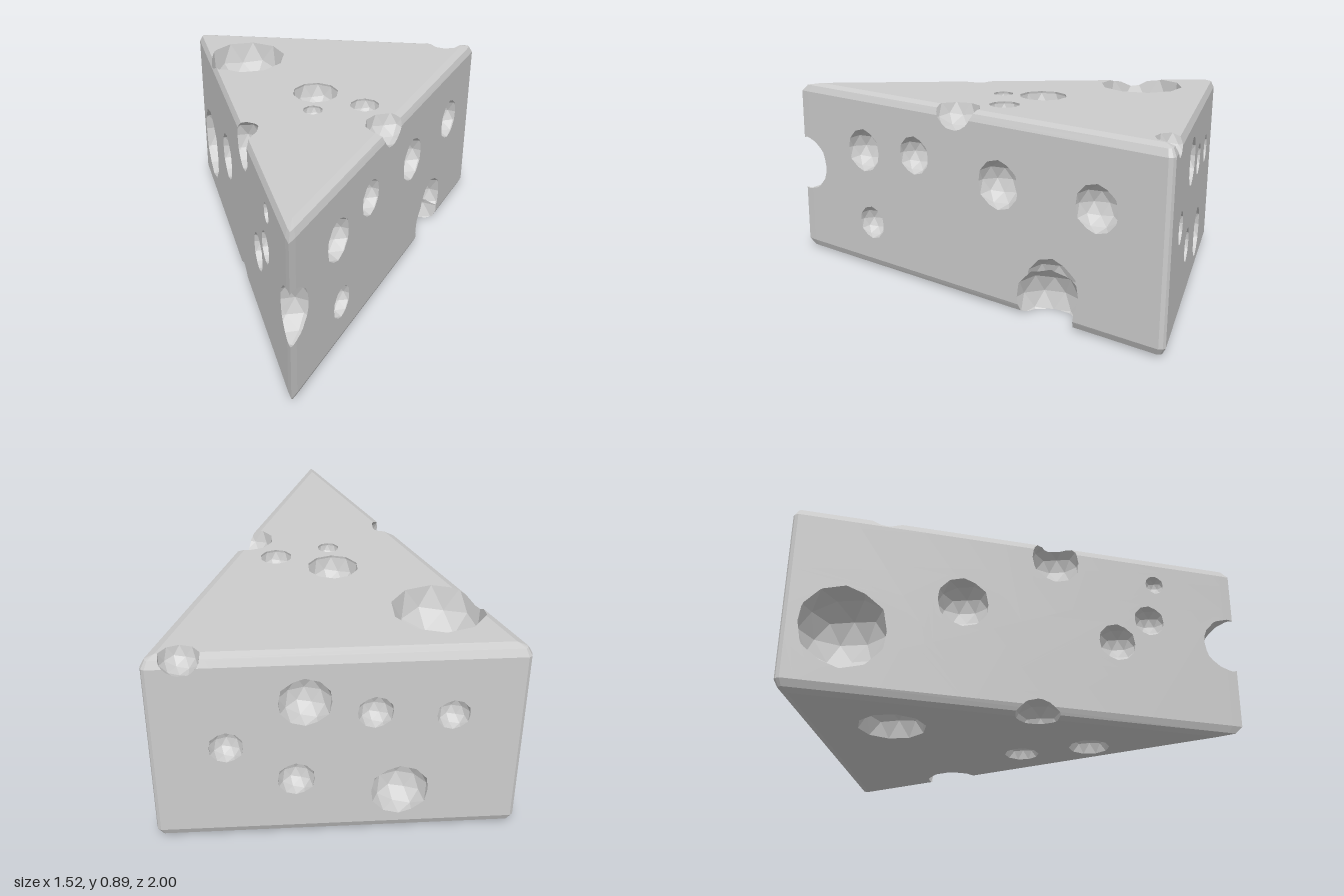
import * as THREE from 'three';
import { ConvexGeometry } from 'three/addons/geometries/ConvexGeometry.js';

const EPS = 1e-5;
const H = 0.89;
const V = (x, y, z) => new THREE.Vector3(x, y, z);

// Triangles of a geometry as point loops
function facesOf(geometry) {
  const p = geometry.toNonIndexed ? (geometry.index ? geometry.toNonIndexed() : geometry).attributes.position : null;
  const faces = [];
  for (let i = 0; i < p.count; i += 3) {
    const f = [0, 1, 2].map(k => new THREE.Vector3().fromBufferAttribute(p, i + k));
    const area = f[1].clone().sub(f[0]).cross(f[2].clone().sub(f[0])).length();
    if (area > 1e-6) faces.push(f);
  }
  return faces;
}
const planesOf = faces => faces.map(f => new THREE.Plane().setFromCoplanarPoints(...f));

// Cut a convex loop by a plane into [outer, inner] parts
function split(poly, plane) {
  const d = poly.map(v => plane.distanceToPoint(v));
  if (d.every(k => k <= EPS)) return [null, poly];
  if (d.every(k => k >= -EPS)) return [poly, null];
  const outer = [], inner = [];
  poly.forEach((a, i) => {
    const j = (i + 1) % poly.length;
    if (d[i] >= -EPS) outer.push(a);
    if (d[i] <= EPS) inner.push(a);
    if ((d[i] > EPS && d[j] < -EPS) || (d[i] < -EPS && d[j] > EPS)) {
      const m = a.clone().lerp(poly[j], d[i] / (d[i] - d[j]));
      outer.push(m);
      inner.push(m);
    }
  });
  return [outer, inner];
}

// Parts of a loop lying outside a convex solid
function outside(poly, planes) {
  const kept = [];
  let rest = poly;
  for (const plane of planes) {
    const [o, i] = split(rest, plane);
    if (!i) return [poly];
    if (o) kept.push(o);
    rest = i;
  }
  return kept;
}

// Part of a loop lying inside a convex solid
function inside(poly, planes) {
  for (const plane of planes) {
    poly = split(poly, plane)[1];
    if (!poly) return null;
  }
  return poly;
}

function toGeometry(polys) {
  const pos = [];
  for (const p of polys)
    for (let i = 1; i < p.length - 1; i++)
      for (const v of [p[0], p[i], p[i + 1]]) pos.push(v.x, v.y, v.z);
  const g = new THREE.BufferGeometry();
  g.setAttribute('position', new THREE.Float32BufferAttribute(pos, 3));
  g.computeVertexNormals();
  return g;
}

// Triangular block with a two-step bevel: [outer x, outer z, inner x, inner z]
function wedgeGeometry() {
  const corners = [
    [0, 0.995, 0, 0.88], [0.02, 0.95, 0, 0.88],
    [0.76, -0.972, 0.70, -0.952], [0.755, -0.99, 0.70, -0.952], [0.742, -1, 0.70, -0.952]
  ];
  const steps = [[0, 1], [0.013, 0.3], [0.045, 0]];
  const points = new Map();
  for (const [ox, oz, ix, iz] of corners)
    for (const [y, t] of steps)
      for (const s of [-1, 1])
        for (const h of [y, H - y]) {
          const p = V(s * (ox + (ix - ox) * t), h, oz + (iz - oz) * t);
          points.set(p.toArray().map(k => (k + 0).toFixed(4).replace('-0.0000', '0.0000')).join(), p);
        }
  return new ConvexGeometry([...points.values()]);
}

const sideX = z => 0.384 - 0.383 * z;

// Holes as [x, y, z, radius]
const holes = [
  // pointed tip
  [0, 0.465, 0.97, 0.142],
  // right-hand face
  ...[[0.60, 0.585, 0.107], [0.63, 0.27, 0.093], [0.58, -0.20, 0.115], [0.575, -0.68, 0.108], [0.235, 0.545, 0.083]]
    .map(([y, z, r]) => [sideX(z), y, z, r]),
  [0.57, 0.165, -0.48, 0.142], [0.54, 0.08, -0.45, 0.16],
  [0.345, 0.895, 0.035, 0.115],
  // left-hand face
  ...[[0.315, -0.75, 0.2], [0.51, -0.26, 0.123], [0.405, 0.43, 0.093], [0.54, 0.585, 0.077], [0.74, 0.62, 0.047]]
    .map(([y, z, r]) => [-sideX(z), y, z, r]),
  [-0.32, 0.80, 0.15, 0.12], [-0.345, -0.035, 0.07, 0.115],
  // top
  [-0.44, 0.89, -0.67, 0.2], [-0.03, 0.88, -0.27, 0.115], [0.22, 0.88, -0.155, 0.073],
  [-0.022, 0.88, -0.075, 0.05], [0.61, 0.89, -0.98, 0.085],
  // back
  [0.45, 0.463, -1, 0.073], [0.13, 0.67, -1, 0.112], [-0.15, 0.61, -1, 0.075],
  [0.17, 0.29, -1, 0.08], [-0.464, 0.585, -1, 0.07], [-0.26, 0.21, -1, 0.125],
  // underside
  [-0.27, 0, -0.605, 0.157], [0.155, 0, -0.056, 0.082], [0.086, 0, 0.275, 0.097]
];

export function createModel() {
  const cheese = new THREE.MeshStandardMaterial({ color: 0xcccccc });
  cheese.name = 'cheese';

  const blockFaces = facesOf(wedgeGeometry());
  const blockPlanes = planesOf(blockFaces);
  const balls = holes.map(([x, y, z, r]) => {
    const g = new THREE.IcosahedronGeometry(r, 1).rotateZ(0.5536).translate(x, y, z);
    const faces = facesOf(g);
    return { faces, planes: planesOf(faces) };
  });
  const carve = (polys, skip) => {
    for (const ball of balls)
      if (ball !== skip) polys = polys.flatMap(p => outside(p, ball.planes));
    return polys;
  };

  // Outer rind with openings, and the faceted hollows behind them
  const rind = carve(blockFaces, null);
  const hollows = balls.flatMap(ball => {
    const kept = ball.faces.map(f => inside(f, blockPlanes)).filter(Boolean);
    return carve(kept, ball).map(p => [...p].reverse());
  });

  const group = new THREE.Group();
  group.name = 'cheeseWedge';
  for (const [name, polys] of [['wedgeBlock', rind], ['holes', hollows]]) {
    const mesh = new THREE.Mesh(toGeometry(polys), cheese);
    mesh.name = name;
    group.add(mesh);
  }
  return group;
}
